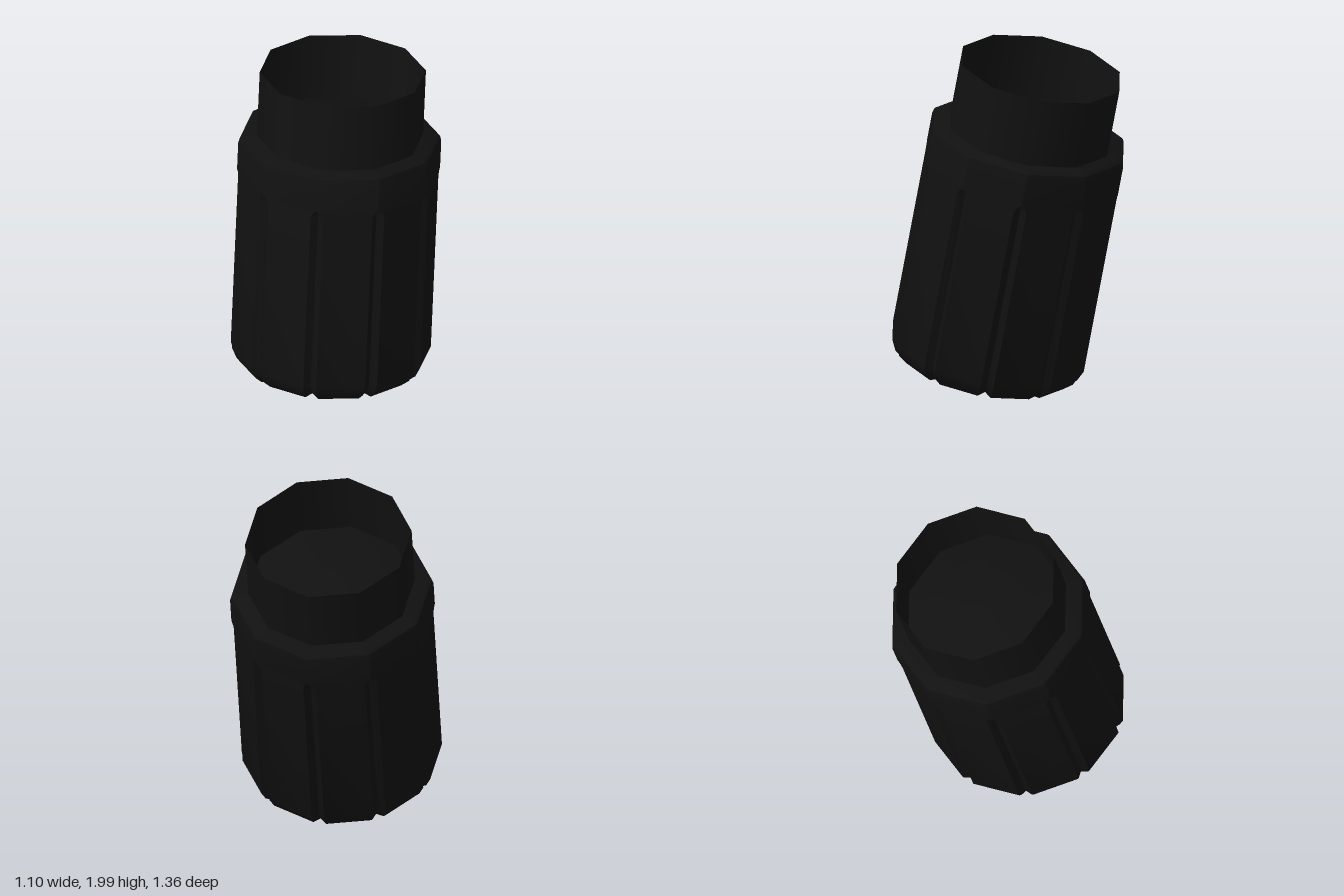
import * as THREE from 'three';
import { toCreasedNormals } from 'three/addons/utils/BufferGeometryUtils.js';

const SIDES = 10;
const GROOVE_HALF_WIDTH = 0.037;
const GROOVE_DEPTH = 0.028;

// Body profile from bottom to top: radius, height, groove strength
const PROFILE = [
  [0, 0, 0], [0.22, 0.025, 0], [0.3, 0.034, 0.8], [0.355, 0.04, 1], [0.5, 0.073, 1],
  [0.55, 0.115, 1], [0.58, 0.18, 1], [0.58, 1.25, 1], [0.58, 1.283, 0.75], [0.58, 1.3, 0],
  [0.58, 1.47, 0], [0.572, 1.5, 0], [0.55, 1.515, 0], [0, 1.515, 0],
];

// Ten-sided body with a V groove cut along every corner
function bodyGeometry() {
  const positions = [];
  const index = [];
  const ring = SIDES * 3;
  PROFILE.forEach(([r, h, g], j) => {
    const before = PROFILE[Math.max(j - 1, 0)];
    const after = PROFILE[Math.min(j + 1, PROFILE.length - 1)];
    const normal = new THREE.Vector2(after[1] - before[1], before[0] - after[0]).normalize();
    const w = GROOVE_HALF_WIDTH * Math.max(g, 0.25) * Math.min(1, r / 0.35);
    const edge = r - w * Math.tan(Math.PI / SIDES);
    const depth = GROOVE_DEPTH * g;
    for (let k = 0; k < SIDES; k++) {
      const a = (k / SIDES) * Math.PI * 2;
      const add = (out, side, y) => positions.push(
        out * Math.sin(a) + side * Math.cos(a), y, out * Math.cos(a) - side * Math.sin(a));
      add(edge, -w, h);
      add((g > 0 ? edge : r) - normal.x * depth, 0, h - normal.y * depth);
      add(edge, w, h);
    }
  });
  for (let j = 0; j < PROFILE.length - 1; j++) {
    for (let i = 0; i < ring; i++) {
      const n = (i + 1) % ring;
      const a = j * ring + i, b = j * ring + n;
      const c = b + ring, d = a + ring;
      if (PROFILE[j][0] > 0) index.push(a, b, d);
      if (PROFILE[j + 1][0] > 0) index.push(b, c, d);
    }
  }
  const geometry = new THREE.BufferGeometry();
  geometry.setAttribute('position', new THREE.Float32BufferAttribute(positions, 3));
  geometry.setIndex(index);
  return toCreasedNormals(geometry, 0.68);
}

export function createModel() {
  const model = new THREE.Group();
  const material = new THREE.MeshStandardMaterial({ color: 0x111111, side: THREE.DoubleSide });

  // Everything leans back around x
  const cap = new THREE.Group();
  cap.name = 'tiltedCap';
  cap.rotation.x = -0.183;
  cap.position.set(0, 0.03, 0.159);
  model.add(cap);

  // Grooved body with domed bottom and rounded shoulder
  const body = new THREE.Mesh(bodyGeometry(), material);
  body.name = 'groovedBody';
  cap.add(body);

  // Thin open neck, its floor being the top of the body
  const neck = new THREE.Mesh(
    new THREE.CylinderGeometry(0.475, 0.475, 0.405, SIDES, 1, true), material);
  neck.name = 'openNeck';
  neck.position.y = 1.7145;
  cap.add(neck);

  return model;
}
